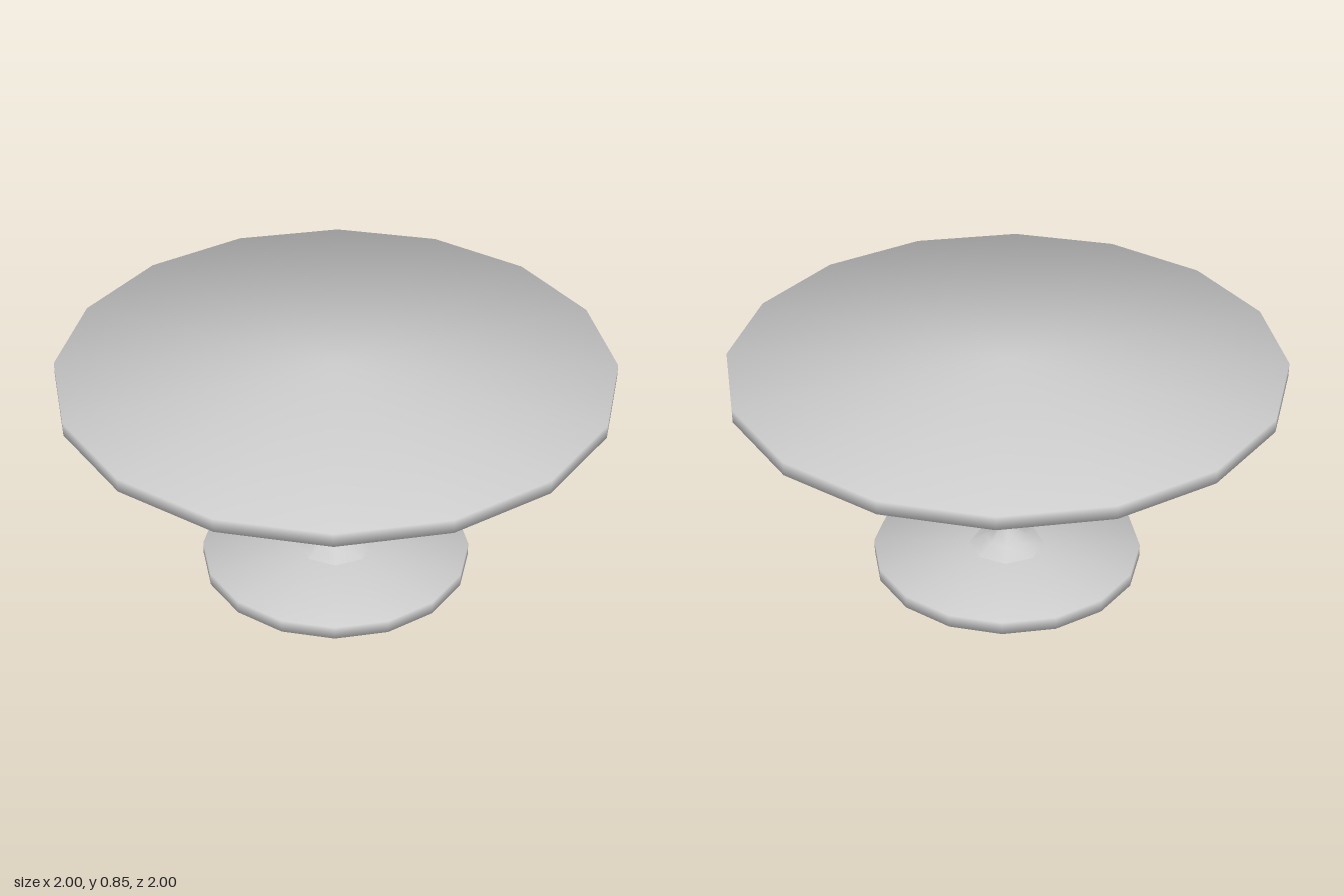
import * as THREE from 'three';
import { mergeVertices } from 'three/addons/utils/BufferGeometryUtils.js';

// Sixteen-sided slab whose normals are shared across its rim, for soft shading
function roundedDisc(radius, bottom, top) {
  const height = top - bottom;
  let geometry = new THREE.CylinderGeometry(radius, radius, height, 16);
  geometry.deleteAttribute('uv');
  geometry.deleteAttribute('normal');
  geometry = mergeVertices(geometry);
  const p = geometry.attributes.position;
  const normals = new Float32Array(p.count * 3);
  for (let i = 0; i < p.count; i++) {
    normals.set([
      (p.getX(i) / radius) * Math.SQRT1_2,
      Math.sign(p.getY(i)) * Math.SQRT1_2,
      (p.getZ(i) / radius) * Math.SQRT1_2,
    ], i * 3);
  }
  geometry.setAttribute('normal', new THREE.BufferAttribute(normals, 3));
  geometry.translate(0, bottom + height / 2, 0);
  return geometry;
}

export function createModel() {
  const group = new THREE.Group();
  group.name = 'pedestalTable';
  const grey = new THREE.MeshStandardMaterial({ color: 0xcccccc });
  grey.name = 'lightGrey';

  const add = (name, geometry) => {
    const mesh = new THREE.Mesh(geometry, grey);
    mesh.name = name;
    group.add(mesh);
  };

  add('tableTop', roundedDisc(1, 0.795, 0.845));
  add('base', roundedDisc(0.5, 0, 0.05));

  // Eight-sided flared pedestal, radius and height from foot to top
  const profile = [
    [0.14, 0.05], [0.08, 0.085], [0.035, 0.13], [0.035, 0.17],
    [0.06, 0.26], [0.1, 0.36], [0.14, 0.43], [0.21, 0.52],
    [0.31, 0.615], [0.41, 0.69], [0.57, 0.797],
  ].map(([r, y]) => new THREE.Vector2(r, y));
  add('pedestal', new THREE.LatheGeometry(profile, 8));

  return group;
}
